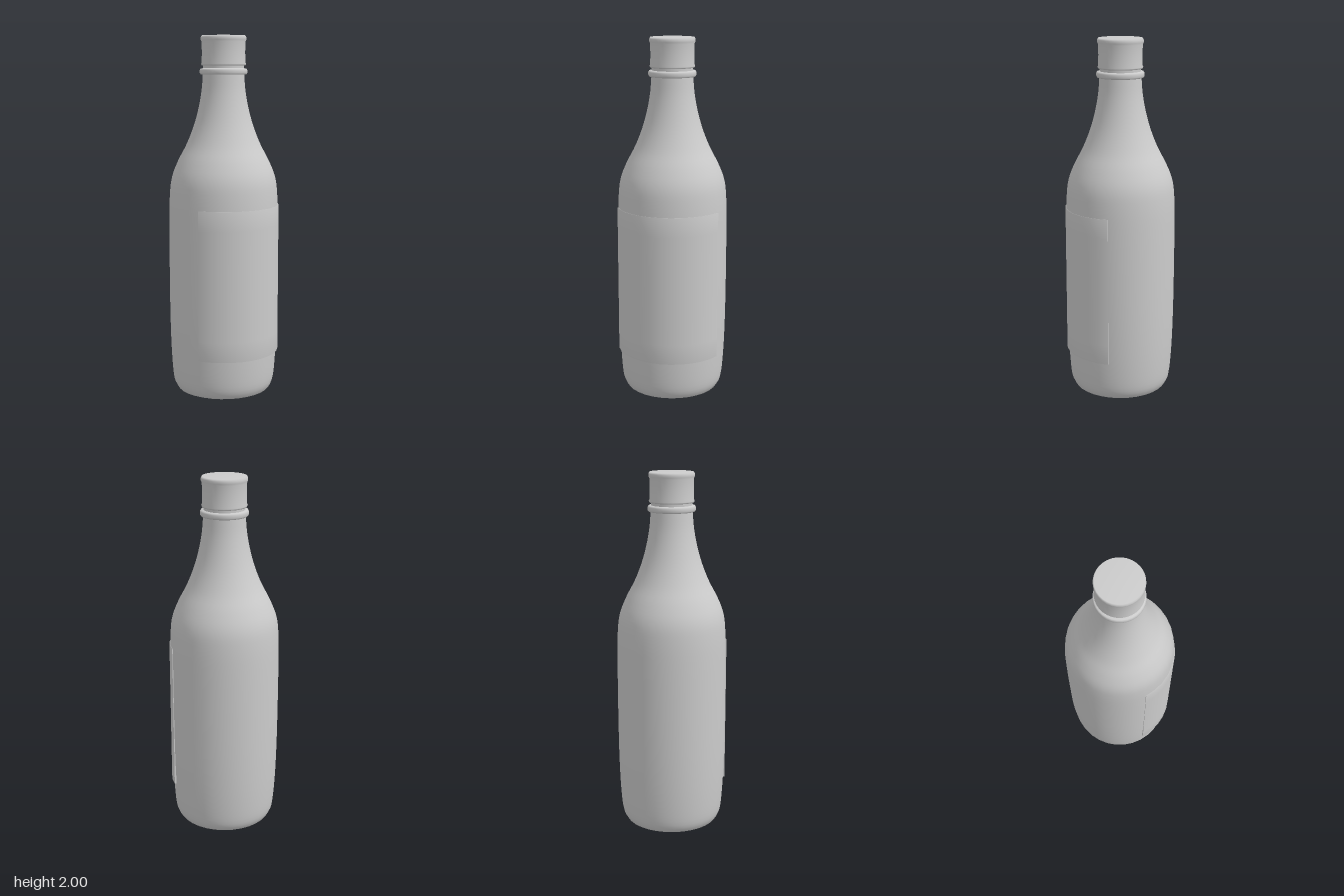
import * as THREE from 'three';

const SEGMENTS = 32;
const material = new THREE.MeshStandardMaterial({ color: 0xcccccc, side: THREE.DoubleSide });
const toPoints = (pairs) => pairs.map(([r, y]) => new THREE.Vector2(r, y));

function addMesh(parent, name, geometry) {
  const mesh = new THREE.Mesh(geometry, material);
  mesh.name = name;
  parent.add(mesh);
  return mesh;
}

// Full turn around the bottle axis; profiles run from bottom to top
const turned = (points) => new THREE.LatheGeometry(points, SEGMENTS);

export function createModel() {
  const bottle = new THREE.Group();
  bottle.name = 'bottle';

  // Glass: flat base, rounded heel, straight wall, sloping shoulder and neck
  const wall = new THREE.SplineCurve(toPoints([
    [0.262, 0.005], [0.285, 0.055], [0.297, 0.18], [0.304, 0.36], [0.307, 0.6],
    [0.307, 0.95], [0.303, 1.12], [0.29, 1.22], [0.255, 1.31], [0.208, 1.4],
    [0.168, 1.5], [0.14, 1.6], [0.122, 1.7], [0.115, 1.79],
  ])).getPoints(52);
  addMesh(bottle, 'glassBody', turned([...toPoints([[0, 0], [0.25, 0]]), ...wall]));

  // Neck ring below the cap
  addMesh(bottle, 'neckRing', turned(toPoints([
    [0.112, 1.787], [0.127, 1.788], [0.132, 1.796], [0.132, 1.812], [0.127, 1.82], [0.112, 1.822],
  ])));
  addMesh(bottle, 'neckFinish', turned(toPoints([[0.113, 1.78], [0.113, 1.85]])));

  // Cap with a small lip at each end
  addMesh(bottle, 'cap', turned(toPoints([
    [0.108, 1.836], [0.122, 1.837], [0.125, 1.845], [0.121, 1.853], [0.12, 1.91],
    [0.121, 1.966], [0.126, 1.976], [0.126, 1.99], [0.121, 2.0], [0, 2.0],
  ])));

  // Wrapped front label
  const label = new THREE.Group();
  label.name = 'label';
  bottle.add(label);
  const [bottom, top, inner, outer] = [0.228, 1.063, 0.296, 0.311];
  const half = THREE.MathUtils.degToRad(67.5);
  addMesh(label, 'labelSheet', new THREE.LatheGeometry(toPoints([
    [inner, bottom], [outer, bottom], [outer, bottom + 0.11], [outer, top - 0.11], [outer, top], [inner, top],
  ]), 12, -half, 2 * half));
  for (const side of [-1, 1]) {
    const edge = addMesh(label, 'labelEdge', new THREE.PlaneGeometry(outer - inner, top - bottom));
    const mid = (inner + outer) / 2;
    edge.position.set(side * mid * Math.sin(half), (top + bottom) / 2, mid * Math.cos(half));
    edge.rotation.y = side * half - Math.PI / 2;
  }
  return bottle;
}
